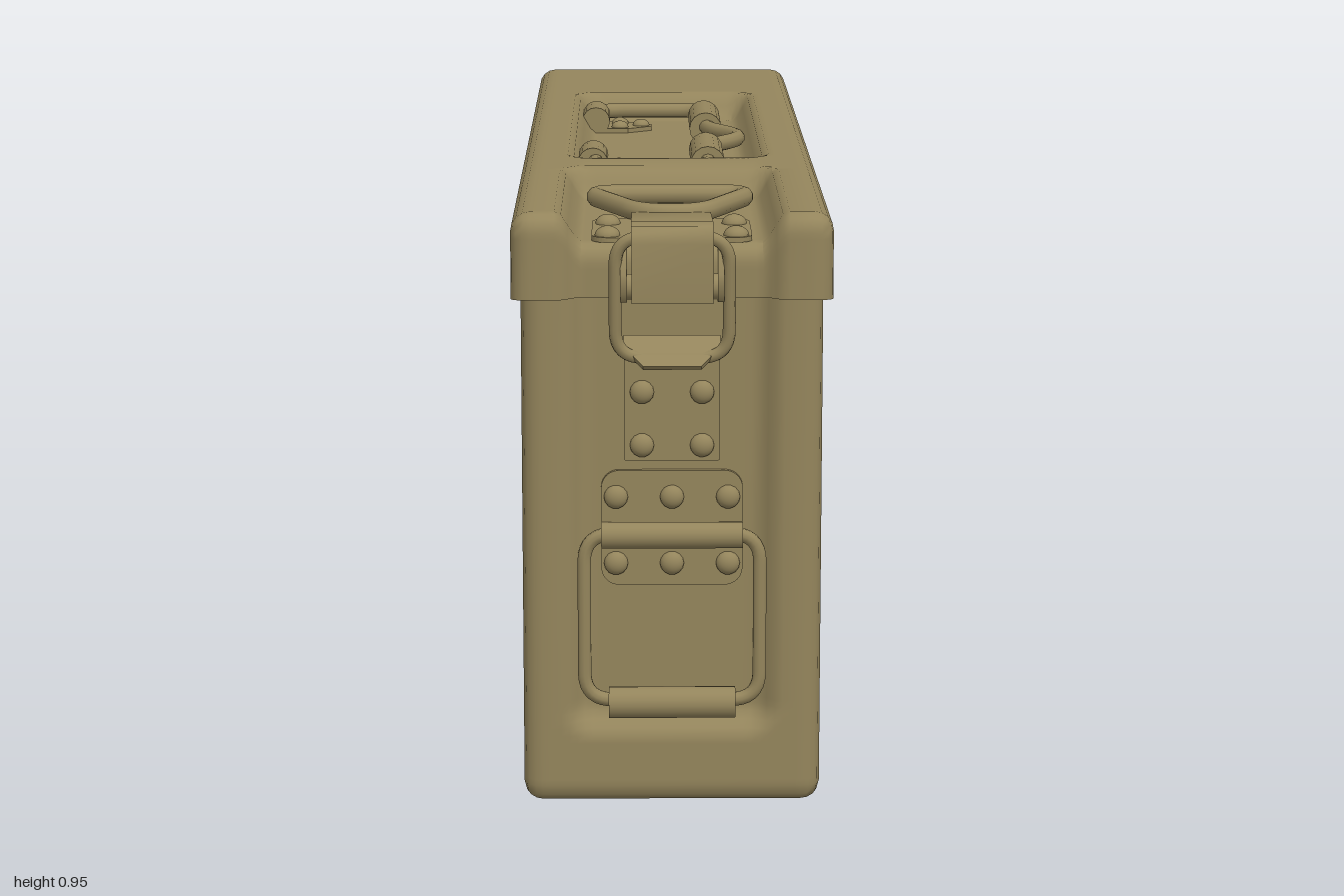
import * as THREE from 'three';
import { toCreasedNormals } from 'three/addons/utils/BufferGeometryUtils.js';

const paint = new THREE.MeshStandardMaterial({ color: 0x94855c });
paint.name = 'olive paint';
const seal = new THREE.MeshStandardMaterial({ color: 0x5c616b });
seal.name = 'grey seal';

const V = (x, y, z) => new THREE.Vector3(x, y, z);
const seam = z => 0.72 + 0.1 * z; // sloping line between lid and body

function add(parent, name, geo, x = 0, y = 0, z = 0, mat = paint) {
  const m = new THREE.Mesh(geo, mat);
  m.name = name;
  m.position.set(x, y, z);
  parent.add(m);
  return m;
}

// 0 outside a rounded rectangle, rising to 1 across a slope of width w
function dent(u, v, hu, v0, v1, w) {
  const r = 0.05, a = Math.abs(u) - hu + r, b = Math.abs(v - (v0 + v1) / 2) - (v1 - v0) / 2 + r;
  const d = Math.hypot(Math.max(a, 0), Math.max(b, 0)) + Math.min(Math.max(a, b), 0) - r;
  return THREE.MathUtils.smoothstep(-d, 0, w);
}

// Grid lines at one rounded end, and evenly spaced lines over a slope
const edge = (h, r) => [h - r - 0.01, h - r, h - r * 0.586, h];
const span = (a, b, n) => Array.from({ length: n + 1 }, (_, i) => a + (b - a) * i / n);
const both = list => [...list.map(v => -v), ...list].sort((a, b) => a - b);

// Box on uneven grid lines, rounded by radius r, then pressed by a rule
function shell(xs, ys, zs, r, yMin, yMax, rule) {
  const axes = [xs, ys, zs], n = axes.map(a => a.length - 1);
  const geo = new THREE.BoxGeometry(1, 1, 1, ...n);
  const lo = V(xs[0] + r, yMin, zs[0] + r), hi = V(xs[n[0]] - r, yMax, zs[n[2]] - r);
  const pos = geo.attributes.position, p = V(), q = V();
  for (let i = 0; i < pos.count; i++) {
    p.fromBufferAttribute(pos, i);
    const [x, y, z] = p.toArray().map((v, k) => axes[k][Math.round((v + 0.5) * n[k])]);
    p.set(x, y, z);
    q.copy(p).clamp(lo, hi);
    p.sub(q).setLength(p.length() > 1e-6 ? r : 0).add(q);
    rule(p, y);
    pos.setXYZ(i, p.x, p.y, p.z);
  }
  geo.deleteAttribute('uv');
  return toCreasedNormals(geo, 0.8);
}

// Round wire through points with softened corners
function wire(points, corner, radius, closed = true) {
  const path = new THREE.CurvePath(), n = points.length;
  let from = closed ? points[n - 1].clone().lerp(points[0], 0.5) : points[0];
  const start = from;
  for (let i = closed ? 0 : 1; i < (closed ? n : n - 1); i++) {
    const p = points[i], a = points[(i + n - 1) % n], b = points[(i + 1) % n];
    const cut = t => p.clone().add(t.clone().sub(p).setLength(Math.min(corner, p.distanceTo(t) * 0.49)));
    path.add(new THREE.LineCurve3(from, cut(a)));
    path.add(new THREE.QuadraticBezierCurve3(cut(a), p, cut(b)));
    from = cut(b);
  }
  path.add(new THREE.LineCurve3(from, closed ? start : points[n - 1]));
  return new THREE.TubeGeometry(path, 120, radius, 10, closed);
}

// Thin plate with rounded corners, facing +z
function plate(w, h, r, t = 0.008) {
  const s = new THREE.Shape(), x = w / 2, y = h / 2;
  s.absarc(x - r, y - r, r, 0, Math.PI / 2);
  s.absarc(r - x, y - r, r, Math.PI / 2, Math.PI);
  s.absarc(r - x, r - y, r, Math.PI, Math.PI * 1.5);
  s.absarc(x - r, r - y, r, Math.PI * 1.5, Math.PI * 2);
  return new THREE.ExtrudeGeometry(s, { depth: t, bevelEnabled: false, curveSegments: 5 });
}

// Strip of width w whose side outline is given as [z, y] pairs
function strip(pts, w) {
  const s = new THREE.Shape(pts.map(p => new THREE.Vector2(...p)));
  const g = new THREE.ExtrudeGeometry(s, { depth: w, bevelEnabled: false });
  return toCreasedNormals(g.translate(0, 0, -w / 2).rotateY(-Math.PI / 2), 0.8);
}

const rod = (r, l) => new THREE.CylinderGeometry(r, r, l, 16).rotateZ(Math.PI / 2);
const rodZ = (r, l) => new THREE.CylinderGeometry(r, r, l, 16).rotateX(Math.PI / 2);

// Domed rivet heads; up = true for those on the lid top
function rivets(parent, list, z, r = 0.019, up = false) {
  for (const [x, y] of list) {
    const g = new THREE.SphereGeometry(r, 14, 6, 0, Math.PI * 2, 0, Math.PI / 2).scale(1, 0.75, 1);
    if (up) add(parent, 'rivet', g, x, z, y);
    else add(parent, 'rivet', g.rotateX(Math.PI / 2), x, y, z);
  }
}

// Folding wire handle with its riveted strap
function endHandle(name) {
  const g = new THREE.Group();
  g.name = name;
  add(g, 'strap', plate(0.222, 0.185, 0.028), 0, 0.447, 0);
  add(g, 'strapCurl', rod(0.021, 0.222), 0, 0.437, 0.016);
  rivets(g, [-0.088, 0, 0.088].flatMap(x => [[x, 0.497], [x, 0.39]]), 0.008);
  const c = [[-0.138, 0.17], [0.138, 0.17], [0.138, 0.44], [-0.138, 0.44]];
  add(g, 'ring', wire(c.map(([x, y]) => V(x, y, 0.02)), 0.045, 0.011));
  add(g, 'gripSleeve', rod(0.025, 0.2), 0, 0.166, 0.022);
  return g;
}

export function createModel() {
  const model = new THREE.Group();
  model.name = 'ammunitionBox';
  const box = new THREE.Group();
  box.name = 'box';
  box.rotation.y = -0.016;
  model.add(box);

  // Body with pressed panels at both ends
  const bx = both([0.06, ...span(0.1, 0.175, 6), ...edge(0.235, 0.03)]);
  const by = [0, 0.0124, 0.03, 0.04, 0.08, ...span(0.1, 0.17, 6), 0.25, 0.45, 0.6];
  const bz = [-0.92, -0.9076, -0.89, -0.88, -0.76, 0, 0.78, 0.91, 0.92, 0.9376, 0.95];
  add(box, 'body', shell(bx, by, bz, 0.03, 0.03, 10, (p, row) => {
    if (row === 0.6) p.y = seam(p.z) + 0.02;
    const a = 0.03 * dent(p.x, p.y, 0.172, 0.11, 2, 0.042);
    p.z -= a * THREE.MathUtils.clamp((p.z - 0.78) / 0.13, 0, 1);
    p.z += a * THREE.MathUtils.clamp((-p.z - 0.76) / 0.12, 0, 1);
  }));

  // Lid with handle recess and latch channel
  const lx = both([0.05, ...span(0.1, 0.182, 8), ...edge(0.25, 0.03)]);
  const lz = [-0.95, -0.9376, -0.92, -0.91, ...span(-0.56, -0.48, 8), 0, ...span(0.28, 0.36, 8),
    ...span(0.43, 0.51, 8), 0.8, ...edge(0.96, 0.03)];
  add(box, 'lid', shell(lx, [0, ...edge(0.95, 0.03)], lz, 0.03, -10, 0.92, (p, row) => {
    const channel = dent(p.x, p.z, 0.18, 0.44, 3, 0.04);
    const recess = dent(p.x, p.z, 0.17, -0.55, 0.35, 0.04);
    if (row === 0) p.y = seam(p.z);
    else p.y -= 0.05 * (channel + recess);
    p.z -= 0.025 * channel * THREE.MathUtils.clamp((p.z - 0.8) / 0.13, 0, 1);
  }), 0, 0, 0, [paint, paint, paint, seal, paint, paint]);

  // End handles
  const front = endHandle('frontHandle'), back = endHandle('backHandle');
  front.position.z = 0.92;
  back.position.z = -0.89;
  back.rotation.y = Math.PI;
  box.add(front, back);

  // Latch catch on the body front
  add(box, 'catchPlate', plate(0.15, 0.195, 0.004), 0, 0.6525, 0.92);
  rivets(box, [-0.047, 0.047].flatMap(x => [[x, 0.665], [x, 0.58]]), 0.928);
  const hook = new THREE.Shape([[-0.075, 0], [-0.075, -0.025], [-0.045, -0.064], [0.045, -0.064],
    [0.075, -0.025], [0.075, 0]].map(p => new THREE.Vector2(...p)));
  add(box, 'catchHook', new THREE.ExtrudeGeometry(hook, { depth: 0.008, bevelEnabled: false }),
    0, 0.75, 0.926).rotation.x = -0.9;

  // Latch on the lid
  add(box, 'latchBase', plate(0.25, 0.19, 0.03).rotateX(-Math.PI / 2), 0, 0.9, 0.83);
  rivets(box, [-0.1, 0.1].flatMap(x => [[x, 0.785], [x, 0.9]]), 0.908, 0.02, true);
  add(box, 'latchLever', strip([[0.75, 0.905], [0.78, 0.925], [0.95, 0.938], [0.985, 0.936], [0.997, 0.925],
    [1, 0.91], [1, 0.818], [0.99, 0.818], [0.988, 0.905], [0.975, 0.922], [0.94, 0.922], [0.8, 0.905]], 0.126));
  add(box, 'latchPivot', rod(0.02, 0.16), 0, 0.838, 0.962);
  for (const s of [-1, 1]) {
    add(box, 'latchEar', strip([[0.92, 0.9], [0.92, 0.82], [0.97, 0.815], [0.985, 0.83], [0.985, 0.86],
      [0.96, 0.9]], 0.01), s * 0.075);
  }
  add(box, 'latchLoop', wire([V(-0.088, 0.725, 0.955), V(0.088, 0.725, 0.955), V(0.088, 0.918, 0.978),
    V(-0.088, 0.918, 0.978)], 0.045, 0.01));
  add(box, 'latchPull', wire([[-0.135, 0.575], [0.135, 0.575], [0.045, 0.775], [-0.045, 0.775]]
    .map(([x, z]) => V(x, 0.922, z)), 0.05, 0.016));

  // Carrying handle in the lid recess
  const path = [[-0.125, -0.34], [-0.125, -0.48], [0.075, -0.48], [0.075, -0.22], [0.13, -0.13],
    [0.13, -0.07], [0.07, 0.02], [0.07, 0.27], [-0.125, 0.27], [-0.125, 0.13]];
  add(box, 'carryHandle', wire(path.map(([x, z]) => V(x, 0.923, z)), 0.045, 0.014, false));
  add(box, 'carryGrip', rodZ(0.03, 0.185), 0.075, 0.92, -0.33);
  add(box, 'carryGrip', rodZ(0.03, 0.185), 0.07, 0.92, 0.12);
  for (const z of [-0.38, 0.165]) {
    add(box, 'pivotCurl', rodZ(0.026, 0.1), -0.13, 0.922, z);
    const tab = new THREE.Shape([[-0.13, -0.05], [-0.07, -0.05], [-0.025, -0.015], [-0.025, 0.015],
      [-0.07, 0.05], [-0.13, 0.05]].map(p => new THREE.Vector2(...p)));
    add(box, 'pivotTab', new THREE.ExtrudeGeometry(tab, { depth: 0.008, bevelEnabled: false })
      .rotateX(-Math.PI / 2), 0, 0.9, z);
    rivets(box, [[-0.085, z - 0.025], [-0.085, z + 0.025], [-0.045, z]], 0.908, 0.016, true);
  }

  // Hinge: lid leaf, five knuckles, pin and body leaf
  const hinge = new THREE.Group();
  hinge.name = 'hinge';
  hinge.rotation.y = Math.PI;
  box.add(hinge);
  add(hinge, 'lidLeaf', plate(0.33, 0.125, 0.004), 0, 0.68, 0.95);
  rivets(hinge, [[-0.065, 0.72], [0.065, 0.72], [-0.13, 0.665], [0, 0.665], [0.13, 0.665]], 0.956, 0.018);
  for (let i = -2; i <= 2; i++) add(hinge, 'knuckle', rod(0.031, 0.066), i * 0.068, 0.596, 0.967);
  add(hinge, 'hingePin', rod(0.018, 0.36), 0, 0.596, 0.967);
  add(hinge, 'bodyLeaf', strip([[0.965, 0.57], [0.93, 0.565], [0.9, 0.53], [0.885, 0.53],
    [0.885, 0.6], [0.965, 0.6]], 0.21));
  return model;
}
